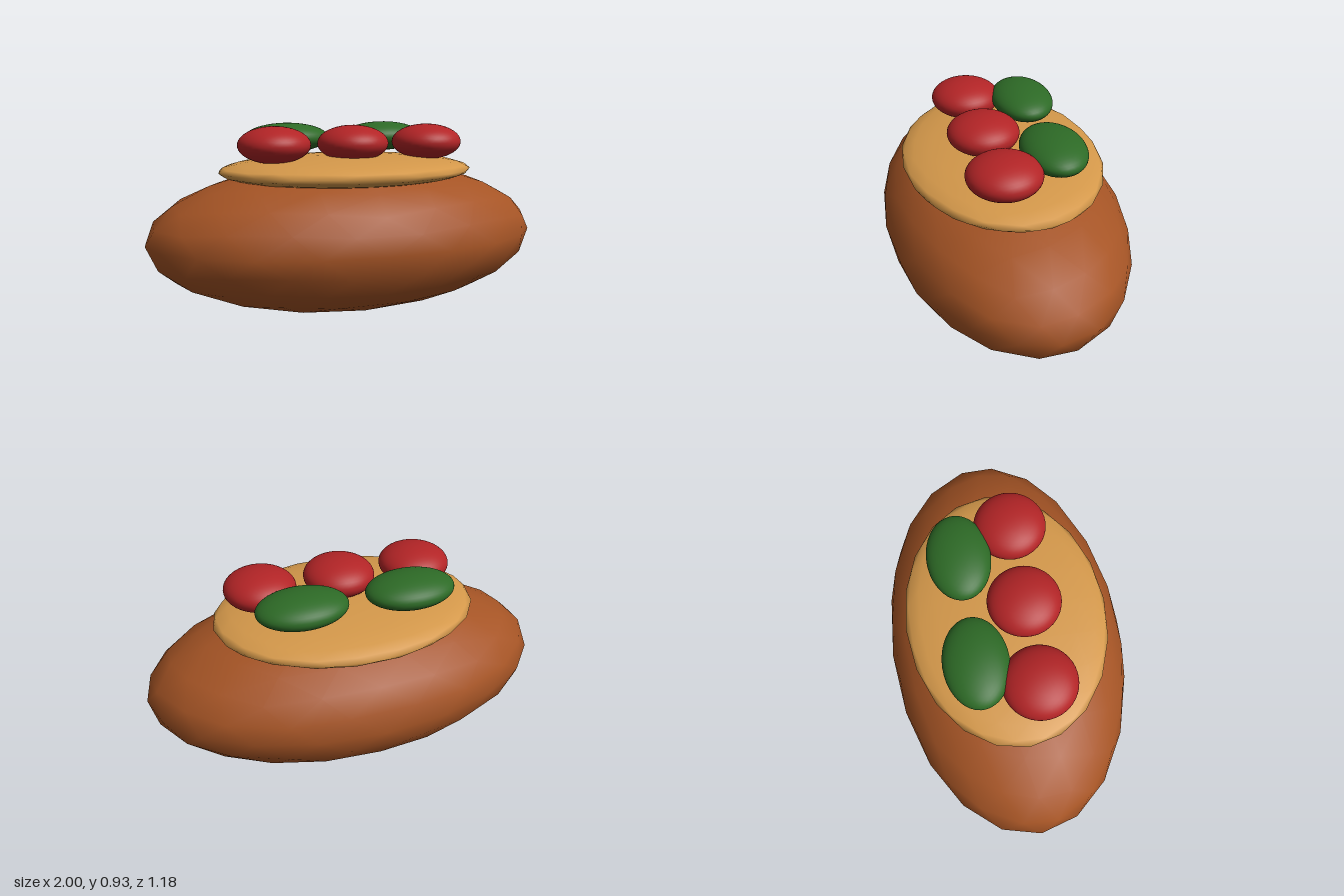
import * as THREE from 'three';
import { mergeVertices } from 'three/addons/utils/BufferGeometryUtils.js';

// Unit icosphere with a corner at each pole and an upper corner facing +z
function icosphere(levels) {
  const ring = (y, turn) => Array.from({ length: 5 }, (_, i) => {
    const a = turn + (i * Math.PI * 2) / 5;
    return new THREE.Vector3(2 * Math.sin(a), y, 2 * Math.cos(a)).normalize();
  });
  const top = new THREE.Vector3(0, 1, 0), bottom = new THREE.Vector3(0, -1, 0);
  const up = ring(1, 0), low = ring(-1, Math.PI / 5);
  let faces = [];
  for (let i = 0; i < 5; i++) {
    const j = (i + 1) % 5;
    faces.push([top, up[i], up[j]], [up[i], low[i], up[j]],
      [up[j], low[i], low[j]], [bottom, low[j], low[i]]);
  }
  const mid = (a, b) => a.clone().add(b).normalize();
  for (let n = 0; n < levels; n++) {
    faces = faces.flatMap(([a, b, c]) => {
      const ab = mid(a, b), bc = mid(b, c), ca = mid(c, a);
      return [[a, ab, ca], [ab, b, bc], [ca, bc, c], [ab, bc, ca]];
    });
  }
  return mergeVertices(new THREE.BufferGeometry().setFromPoints(faces.flat()), 1e-4);
}

export function createModel() {
  const group = new THREE.Group();
  const material = (name, color) => {
    const m = new THREE.MeshStandardMaterial({ color });
    m.name = name;
    return m;
  };
  const crust = material('crust brown', 0xa55425);
  const cream = material('golden filling', 0xd4984a);
  const red = material('berry red', 0xb22426);
  const green = material('leaf green', 0x2d6a26);

  // Ellipsoid with given centre and half sizes
  function ellipsoid(name, mat, levels, [x, y, z], [rx, ry, rz]) {
    const geometry = icosphere(levels).scale(rx, ry, rz);
    geometry.computeVertexNormals();
    const mesh = new THREE.Mesh(geometry, mat);
    mesh.name = name;
    mesh.position.set(x, y, z);
    group.add(mesh);
  }

  // Loaf and the flat layer resting on it
  ellipsoid('loaf', crust, 2, [0, 0.375, 0], [1, 0.372, 0.59]);
  ellipsoid('filling', cream, 2, [0, 0.705, 0], [0.647, 0.08, 0.48]);

  // Row of berries in front, pair of leaves behind
  for (const x of [-0.395, 0, 0.395]) {
    ellipsoid('berry', red, 3, [x, 0.84, 0.086], [0.174, 0.089, 0.174]);
  }
  for (const x of [-0.263, 0.263]) {
    ellipsoid('leaf', green, 3, [x, 0.857, -0.18], [0.218, 0.075, 0.152]);
  }
  return group;
}
